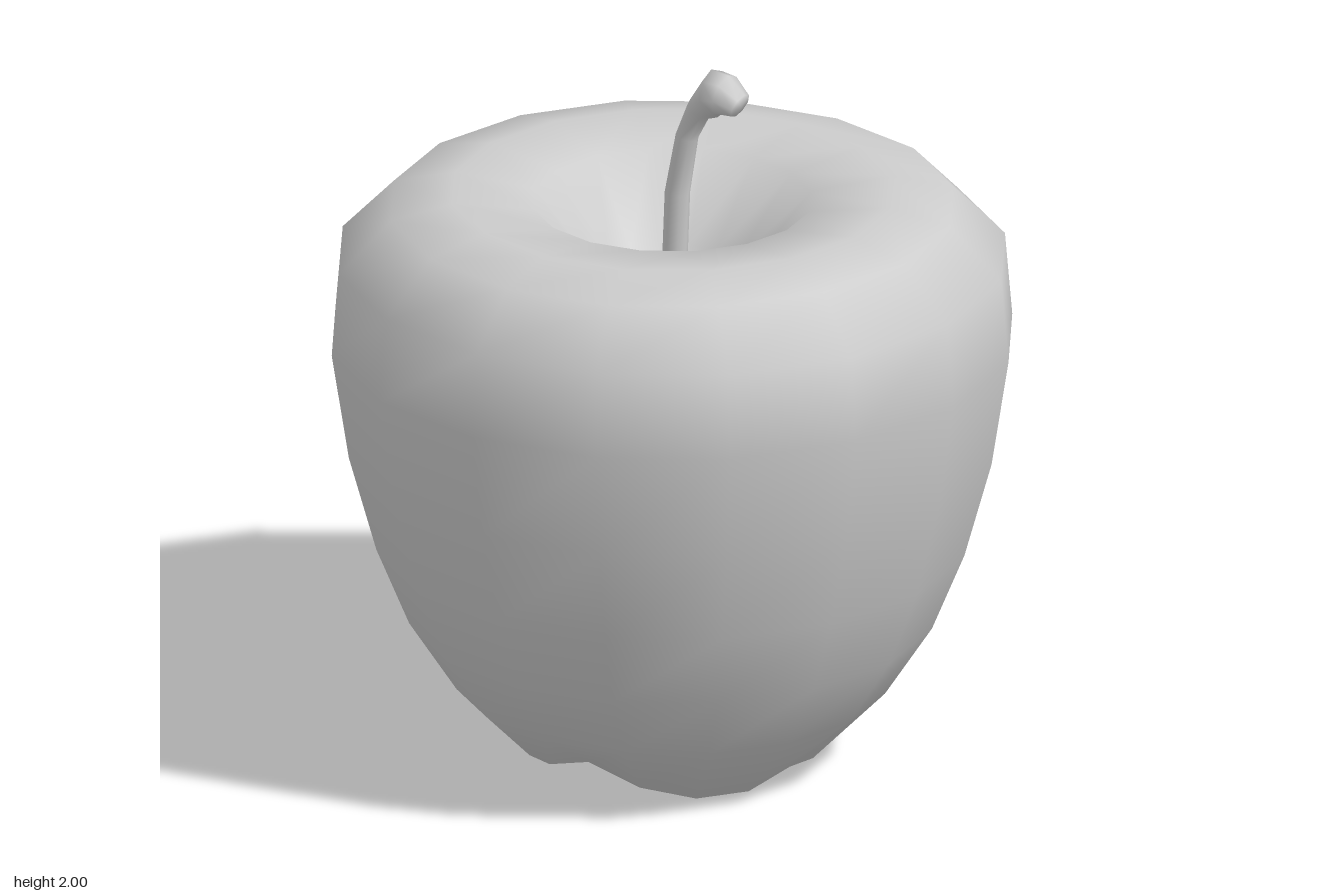
import * as THREE from 'three';
import { mergeVertices } from 'three/addons/utils/BufferGeometryUtils.js';

// Skin a list of rings, ordered bottom to top; point(i, angle, j) returns [x, y, z]
function loft(ringCount, sides, point) {
  const positions = [], indices = [];
  for (let i = 0; i < ringCount; i++) {
    for (let j = 0; j < sides; j++) {
      positions.push(...point(i, (j / sides) * Math.PI * 2, j));
      if (i === ringCount - 1) continue;
      const a = i * sides + j, b = i * sides + ((j + 1) % sides);
      indices.push(a, a + sides, b, b, a + sides, b + sides);
    }
  }
  const geometry = new THREE.BufferGeometry();
  geometry.setAttribute('position', new THREE.Float32BufferAttribute(positions, 3));
  geometry.setIndex(indices);
  const merged = mergeVertices(geometry, 1e-5);
  merged.computeVertexNormals();
  return merged;
}

export function createModel() {
  const group = new THREE.Group();
  const material = new THREE.MeshStandardMaterial({ color: 0xcccccc });

  // Fruit body: [radius, height, share of the lobe lift]
  const profile = [
    [0, 0.14, 0], [0.1, 0.07, 0.6], [0.25, 0, 1], [0.39, 0.005, 1],
    [0.59, 0.21, 0.08], [0.72, 0.41, 0], [0.81, 0.63, 0], [0.885, 0.9, 0],
    [0.932, 1.2, 0], [0.912, 1.435, 0], [0.77, 1.58, 0], [0.6, 1.62, 0],
    [0.38, 1.59, 0], [0.21, 1.38, 0], [0.08, 1.17, 0], [0, 1.12, 0],
  ];
  // Uneven lobes underneath, one lift per side, from +x round through +z
  const lifts = [0.03, 0, 0, 0.03, 0.08, 0.03, 0, 0.01, 0.04, 0.1, 0.13, 0.11, 0.09, 0.02, 0, 0];
  const body = new THREE.Mesh(loft(profile.length, 16, (i, angle, j) => {
    const [r, y, share] = profile[i];
    return [r * Math.cos(angle), y + share * lifts[j], r * Math.sin(angle)];
  }), material);
  body.name = 'fruitBody';
  group.add(body);

  // Bent stem with a knobbed tip: [x, y, radius, direction x, direction y]
  const stemRings = [
    [-0.005, 1.08, 0.035, 0, 1], [0.018, 1.62, 0.035, 0.1, 1],
    [0.05, 1.79, 0.032, 0.3, 1], [0.09, 1.875, 0.037, 0.7, 1],
    [0.14, 1.932, 0.068, 1, 0.15], [0.175, 1.935, 0.06, 1, -0.2],
    [0.225, 1.915, 0.038, 1, -0.45], [0.23, 1.913, 0, 1, -0.45],
  ];
  const stem = new THREE.Mesh(loft(stemRings.length, 8, (i, angle) => {
    const [x, y, r, dx, dy] = stemRings[i];
    const across = (r * Math.cos(angle)) / Math.hypot(dx, dy);
    return [x + across * dy, y - across * dx, r * Math.sin(angle)];
  }), material);
  stem.name = 'stem';
  group.add(stem);

  return group;
}
